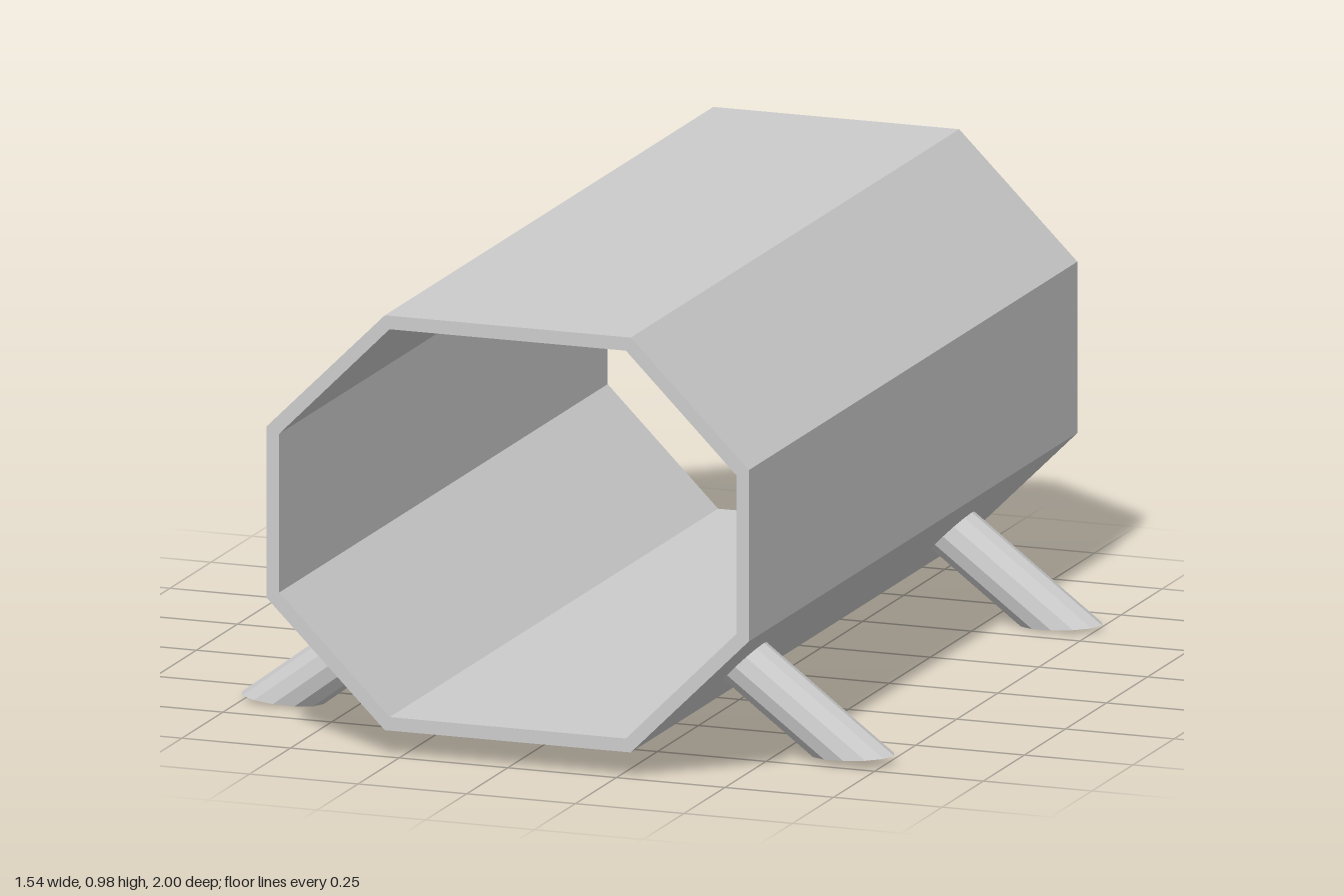
import * as THREE from 'three';

const material = new THREE.MeshStandardMaterial({ color: 0xcccccc, flatShading: true });
const openMaterial = new THREE.MeshStandardMaterial({ color: 0xcccccc, flatShading: true, side: THREE.DoubleSide });

// Eight-sided outline: half width, half height, and half lengths of the flat sides
function octagon(w, h, flatX, flatY) {
  return [[flatX, -h], [w, -flatY], [w, flatY], [flatX, h], [-flatX, h], [-w, flatY], [-w, -flatY], [-flatX, -h]]
    .map(([x, y]) => new THREE.Vector2(x, y));
}

// Hollow octagonal barrel running front to back
function makeBarrel() {
  const shape = new THREE.Shape(octagon(0.555, 0.46, 0.283, 0.19));
  shape.holes.push(new THREE.Path(octagon(0.526, 0.43, 0.272, 0.176).reverse()));
  const geometry = new THREE.ExtrudeGeometry(shape, { depth: 2, bevelEnabled: false });
  geometry.translate(0, 0.52, -1);
  const mesh = new THREE.Mesh(geometry, material);
  mesh.name = 'barrel';
  return mesh;
}

// Slanted open pipe, cut off at the barrel wall above and near the ground below
function makeLeg(z, shift) {
  const radius = 0.061;
  const dir = new THREE.Vector3(0.8, -0.6, 0).normalize();
  const foot = new THREE.Vector3(0.667 + shift, 0.007 + shift, 0);
  const wall = { normal: new THREE.Vector3(1, -1, 0), offset: 0.205 };
  const ground = { normal: new THREE.Vector3(-0.06, 1, 0) };
  ground.offset = ground.normal.dot(foot);

  const geometry = new THREE.CylinderGeometry(radius, radius, 1, 12, 1, true);
  const turn = new THREE.Quaternion().setFromUnitVectors(new THREE.Vector3(0, 1, 0), dir.clone().negate());
  const pos = geometry.attributes.position;
  const p = new THREE.Vector3();
  for (let i = 0; i < pos.count; i++) {
    p.fromBufferAttribute(pos, i);
    const plane = p.y > 0 ? wall : ground;
    p.y = 0;
    p.applyQuaternion(turn).add(foot);
    // slide along the pipe axis onto the cutting plane
    p.addScaledVector(dir, (plane.offset - plane.normal.dot(p)) / plane.normal.dot(dir));
    pos.setXYZ(i, p.x, p.y, p.z);
  }
  geometry.computeVertexNormals();
  const mesh = new THREE.Mesh(geometry, openMaterial);
  mesh.position.z = z;
  return mesh;
}

export function createModel() {
  const model = new THREE.Group();
  model.name = 'octagonalTubeOnLegs';
  model.add(makeBarrel());

  // The right pair is the left pair turned half way round
  for (const side of ['left', 'right']) {
    const pair = new THREE.Group();
    pair.name = side + 'Legs';
    const outer = makeLeg(0.687, 0.01);
    const inner = makeLeg(-0.605, 0);
    outer.name = side === 'left' ? 'frontLeftLeg' : 'backRightLeg';
    inner.name = side === 'left' ? 'backLeftLeg' : 'frontRightLeg';
    pair.add(outer, inner);
    if (side === 'right') pair.rotation.y = Math.PI;
    model.add(pair);
  }
  return model;
}
